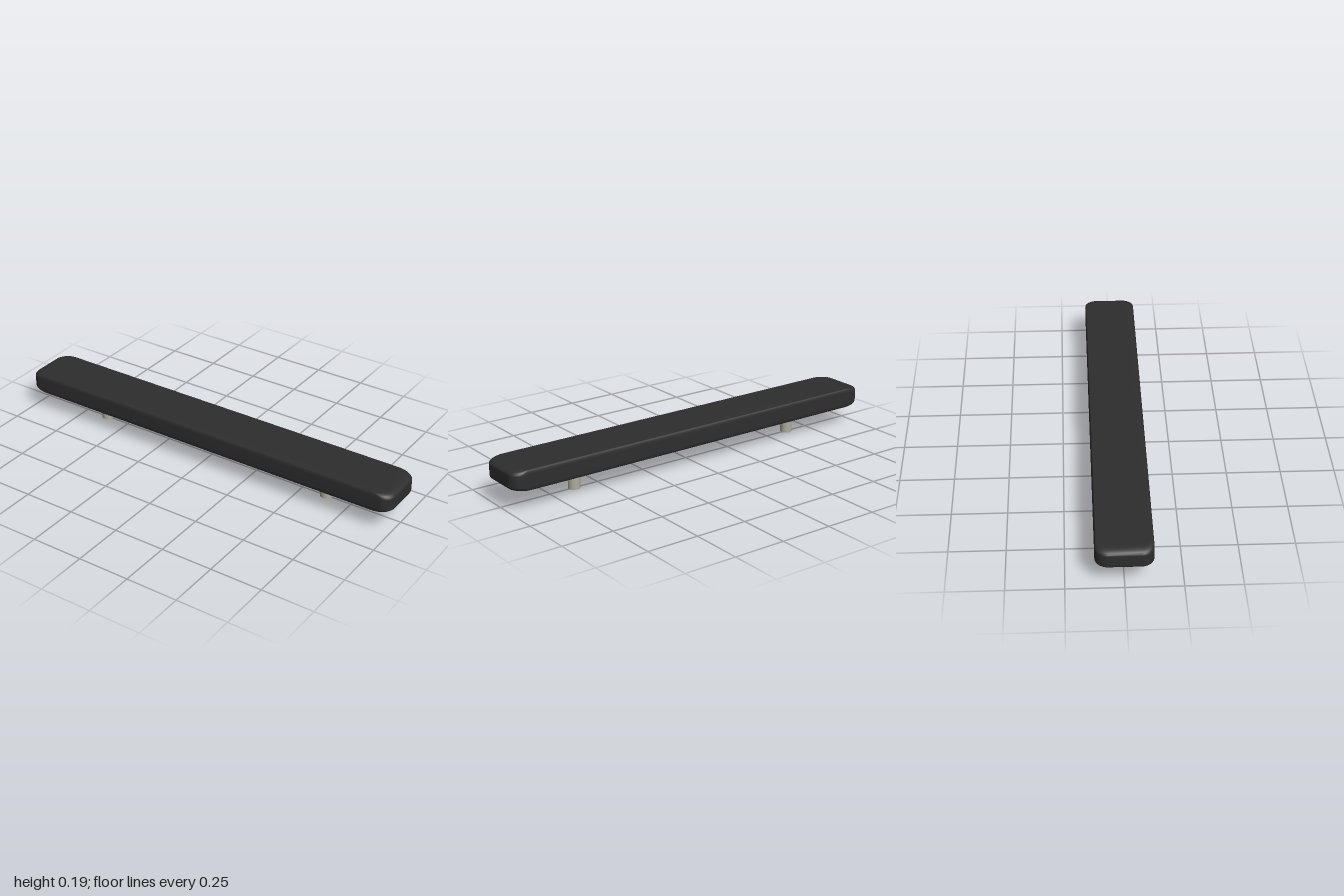
import * as THREE from 'three';

// Rounded slab lofted from stacked rounded rectangles, edges eased along an ellipse
function slabGeometry(halfX, halfZ, y0, y1, corner, easeX, easeY, easeZ) {
  const steps = 5, cornerSteps = 8, levels = [];
  for (let i = 0; i <= steps; i++) {
    const a = (i / steps) * Math.PI / 2;
    levels.push({ y: y0 + easeY * (1 - Math.sin(a)), k: 1 - Math.cos(a) });
  }
  // angle 0 is the side wall, angle 90 degrees the flat face
  levels.reverse();
  for (let i = 0; i <= steps; i++) {
    const a = (i / steps) * Math.PI / 2;
    levels.push({ y: y1 - easeY * (1 - Math.sin(a)), k: 1 - Math.cos(a) });
  }
  levels.slice(0, steps + 1).sort((p, q) => p.y - q.y).forEach((l, i) => { levels[i] = l; });
  const pos = [], index = [], n = 4 * (cornerSteps + 1);
  for (const { y, k } of levels) {
    const hx = halfX - easeX * k, hz = halfZ - easeZ * k;
    for (let q = 0; q < 4; q++) {
      const sx = q === 0 || q === 3 ? 1 : -1, sz = q < 2 ? 1 : -1;
      for (let j = 0; j <= cornerSteps; j++) {
        const a = (q + j / cornerSteps) * Math.PI / 2;
        pos.push(sx * (hx - corner) + corner * Math.cos(a), y, sz * (hz - corner) + corner * Math.sin(a));
      }
    }
  }
  for (let l = 0; l < levels.length - 1; l++) {
    for (let j = 0; j < n; j++) {
      const a = l * n + j, b = l * n + (j + 1) % n;
      index.push(a, a + n, b, b, a + n, b + n);
    }
  }
  // flat faces
  const top = (levels.length - 1) * n;
  for (let j = 1; j < n - 1; j++) {
    index.push(0, j, j + 1);
    index.push(top, top + j + 1, top + j);
  }
  const g = new THREE.BufferGeometry();
  g.setAttribute('position', new THREE.Float32BufferAttribute(pos, 3));
  g.setIndex(index);
  g.computeVertexNormals();
  return g;
}

export function createModel() {
  const model = new THREE.Group();
  model.name = 'barHandle';
  const black = new THREE.MeshStandardMaterial({ color: 0x2e2e2e });
  black.name = 'matte black';
  const metal = new THREE.MeshStandardMaterial({ color: 0xaeac9b });
  metal.name = 'warm grey metal';

  // Long bar: quarter-ellipse easing on upper and lower rims
  const bar = new THREE.Mesh(
    slabGeometry(1, 0.125, 0.098, 0.194, 0.055, 0.045, 0.022, 0.008), black);
  bar.name = 'bar';
  model.add(bar);

  // Pair of mounting posts
  const postGeometry = new THREE.CylinderGeometry(0.028, 0.028, 0.11, 24);
  for (const side of [-1, 1]) {
    const post = new THREE.Mesh(postGeometry, metal);
    post.name = side > 0 ? 'leftPost' : 'rightPost';
    post.position.set(side * 0.623, 0.055, 0);
    model.add(post);
  }
  return model;
}
